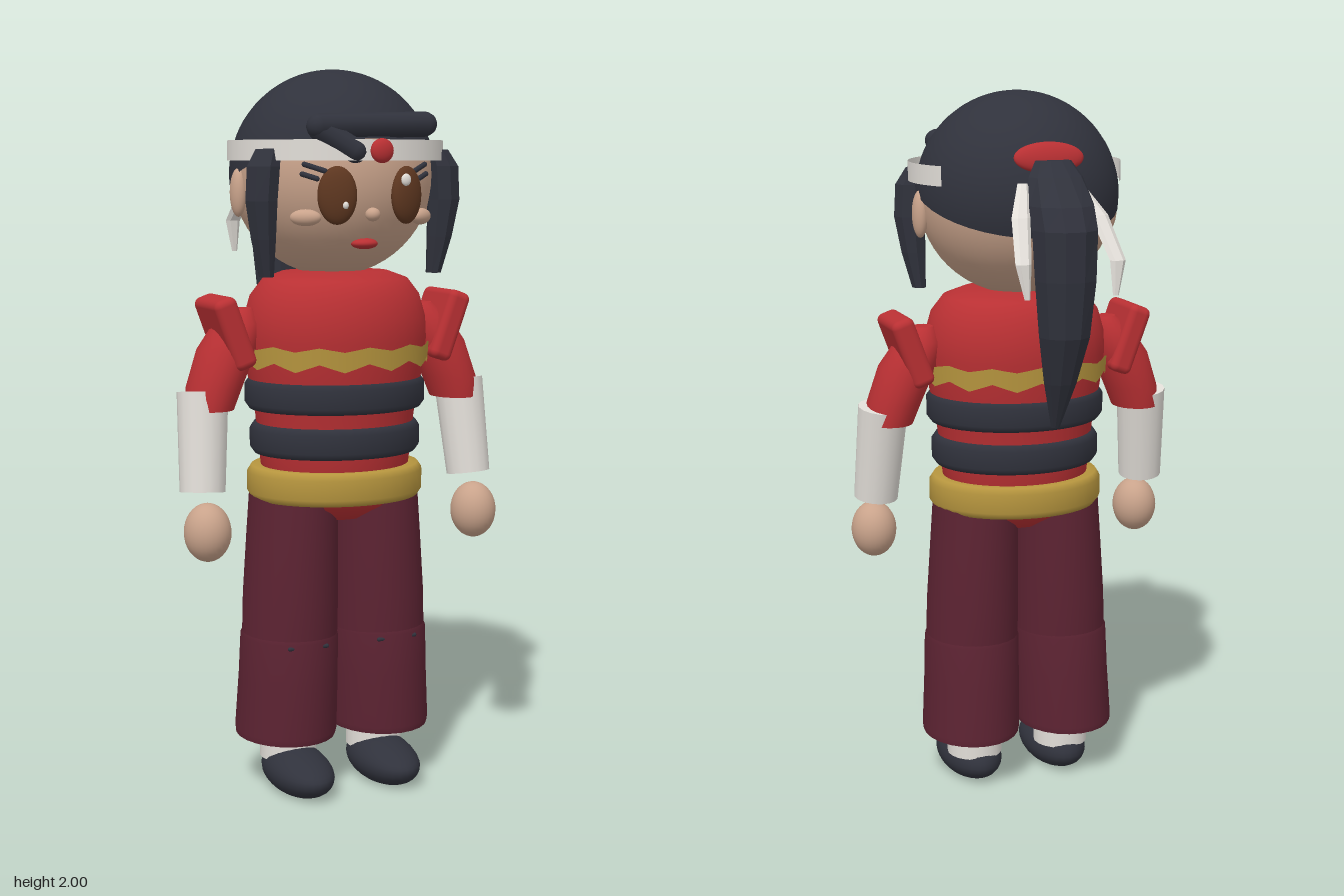
import * as THREE from 'three';
import { RoundedBoxGeometry } from 'three/addons/geometries/RoundedBoxGeometry.js';

const mat = (name, color, side = THREE.FrontSide) => {
  const m = new THREE.MeshStandardMaterial({ color, side });
  m.name = name;
  return m;
};

// Closed body through horizontal ellipses [x, y, z, rx, rz], listed bottom to top
function loft(rings, sides = 24, flat = false) {
  const pos = [], idx = [];
  const addRing = ([x, y, z, rx, rz]) => {
    const start = pos.length / 3;
    for (let j = 0; j < sides; j++) {
      const t = (j / sides) * Math.PI * 2;
      pos.push(x + rx * Math.cos(t), y, z + rz * Math.sin(t));
    }
    return start;
  };
  const starts = rings.map(addRing);
  for (let i = 0; i < rings.length - 1; i++) {
    for (let j = 0; j < sides; j++) {
      const k = (j + 1) % sides;
      const a = starts[i] + j, b = starts[i] + k, c = starts[i + 1] + j, d = starts[i + 1] + k;
      idx.push(a, c, b, b, c, d);
    }
  }
  [[rings[0], false], [rings[rings.length - 1], true]].forEach(([r, top]) => {
    const s = addRing(r), centre = pos.length / 3;
    pos.push(r[0], r[1], r[2]);
    for (let j = 0; j < sides; j++) {
      const k = (j + 1) % sides;
      idx.push(centre, s + (top ? k : j), s + (top ? j : k));
    }
  });
  let g = new THREE.BufferGeometry();
  g.setAttribute('position', new THREE.Float32BufferAttribute(pos, 3));
  g.setIndex(idx);
  if (flat) g = g.toNonIndexed();
  g.computeVertexNormals();
  return g;
}

export function createModel() {
  const red = mat('red cloth', 0xb93033);
  const navy = mat('dark navy', 0x30323c);
  const maroon = mat('maroon cloth', 0x5c2332);
  const gold = mat('gold', 0xb6953e, THREE.DoubleSide);
  const skin = mat('skin', 0xc9a38b);
  const white = mat('white cloth', 0xe2ded8, THREE.DoubleSide);
  const brown = mat('brown eyes', 0x5e3720);

  const model = new THREE.Group();
  const add = (name, geo, material, p = [0, 0, 0], r = [0, 0, 0]) => {
    const m = new THREE.Mesh(geo, material);
    m.name = name;
    m.position.set(...p);
    m.rotation.set(...r);
    model.add(m);
    return m;
  };
  const ball = (name, material, p, s, r) => {
    const m = add(name, new THREE.SphereGeometry(1, 28, 18), material, p, r);
    m.scale.set(...s);
    return m;
  };
  const capsule = (name, material, a, b, radius) => {
    const A = new THREE.Vector3(...a), B = new THREE.Vector3(...b), d = B.clone().sub(A);
    const m = add(name, new THREE.CapsuleGeometry(radius, d.length(), 5, 10), material);
    m.position.copy(A).add(B).multiplyScalar(0.5);
    m.quaternion.setFromUnitVectors(new THREE.Vector3(0, 1, 0), d.normalize());
  };
  // Lathe squashed front to back around the body axis
  const bodyLathe = (name, pts, material) => {
    const m = add(name, new THREE.LatheGeometry(pts.map(q => new THREE.Vector2(...q)), 40), material, [0, 0, 0.085]);
    m.scale.z = 0.86;
  };

  // Torso
  bodyLathe('torso', [[0, 0.76], [0.1, 0.77], [0.17, 0.81], [0.205, 0.87], [0.217, 0.97], [0.226, 1.06],
    [0.247, 1.17], [0.26, 1.27], [0.257, 1.33], [0.24, 1.39], [0.205, 1.435], [0.15, 1.455], [0, 1.46]], red);

  // Belts with rounded edges
  const belt = (name, r, y, h, material) => bodyLathe(name, [[r - 0.04, y - h], [r - 0.012, y - h], [r, y - h * 0.6],
    [r, y + h * 0.6], [r - 0.012, y + h], [r - 0.04, y + h]], material);
  belt('upperBelt', 0.256, 1.122, 0.042, navy);
  belt('lowerBelt', 0.242, 0.998, 0.042, navy);
  belt('waistSash', 0.25, 0.875, 0.045, gold);

  // Wavy chest trim
  const trim = new THREE.CylinderGeometry(0.267, 0.264, 0.05, 48, 1, true);
  const tp = trim.attributes.position;
  for (let i = 0; i < tp.count; i++) {
    const t = Math.atan2(tp.getX(i), tp.getZ(i));
    tp.setY(i, tp.getY(i) + (tp.getY(i) > 0 ? 0.006 : 0.011) * Math.cos(t * 12));
  }
  add('chestTrim', trim, gold, [0, 1.232, 0.085]).scale.z = 0.86;

  // Head and hair cap
  const hc = [0, 1.717, 0.065];
  add('head', new THREE.SphereGeometry(0.276, 40, 28), skin, hc);
  add('hairCap', new THREE.SphereGeometry(0.283, 40, 20, 0, Math.PI * 2, 0, Math.PI / 2), navy, hc, [-0.34, 0, 0]);
  const faceZ = (x, y) => hc[2] + Math.sqrt(0.276 ** 2 - x * x - (y - hc[1]) ** 2);

  // Face
  ball('nose', skin, [0, 1.615, 0.328], [0.02, 0.018, 0.02]);
  ball('mouth', red, [0, 1.537, 0.277], [0.037, 0.015, 0.03]).position.z = faceZ(0, 1.537) + 0.002;
  ball('eyeHighlight', white, [0.085, 1.705, 0.352], [0.014, 0.016, 0.008]);
  ball('eyeHighlight', white, [-0.088, 1.64, 0.35], [0.008, 0.01, 0.008]);

  // Headband with front gem
  const band = add('headband', new THREE.CylinderGeometry(0.296, 0.296, 0.054, 32, 1, true, -2.1, 4.2), white, [0, 1.782, 0.085]);
  band.scale.z = 0.97;
  ball('headbandGem', red, [0, 1.78, 0.383], [0.032, 0.032, 0.018]);

  // Fringe
  capsule('fringe', navy, [-0.15, 1.842, 0.318], [0.155, 1.85, 0.318], 0.033);
  capsule('fringeLock', navy, [-0.145, 1.835, 0.315], [-0.06, 1.78, 0.345], 0.033);

  // Ponytail and tie
  add('ponytail', loft([
    [0, 1.12, -0.25, 0.012, 0.012], [0, 1.25, -0.285, 0.045, 0.045], [0, 1.38, -0.315, 0.07, 0.068],
    [0, 1.53, -0.323, 0.085, 0.075], [0, 1.66, -0.315, 0.09, 0.085], [0, 1.72, -0.29, 0.09, 0.078],
    [0, 1.79, -0.245, 0.075, 0.05], [0, 1.83, -0.225, 0.05, 0.025]], 10, true), navy);
  ball('hairTie', red, [0, 1.835, -0.193], [0.098, 0.042, 0.022], [0.25, 0, 0]);

  for (const s of [-1, 1]) {
    // Face sides
    ball('eye', brown, [s * 0.1, 1.665, 0.323], [0.052, 0.076, 0.026], [0, s * 0.37, 0]);
    ball('cheek', skin, [s * 0.168, 1.607, 0.272], [0.042, 0.022, 0.022], [0, s * 0.6, 0]);
    ball('ear', skin, [s * 0.278, 1.67, 0.07], [0.022, 0.065, 0.029]);
    [[0.13, 1.728, 0.175, 1.745], [0.148, 1.708, 0.18, 1.72]].forEach(([x0, y0, x1, y1]) =>
      capsule('lash', navy, [s * x0, y0, faceZ(x0, y0) + 0.004], [s * x1, y1, faceZ(x1, y1) + 0.004], 0.007));

    // Side lock of hair
    add('sideLock', loft([
      [s * 0.248, 1.45, 0.195, 0.02, 0.025], [s * 0.26, 1.55, 0.205, 0.035, 0.038],
      [s * 0.268, 1.65, 0.212, 0.045, 0.048], [s * 0.262, 1.74, 0.212, 0.046, 0.05],
      [s * 0.245, 1.785, 0.205, 0.035, 0.04]], 8, true), navy);

    // Ribbon tail of the headband
    add('ribbon', loft([
      [s * 0.122, 1.49, -0.37, 0.008, 0.006], [s * 0.13, 1.58, -0.362, 0.022, 0.012],
      [s * 0.108, 1.69, -0.28, 0.026, 0.014], [s * 0.075, 1.77, -0.2, 0.015, 0.01]], 6, true), white);

    // Arm
    add('sleeve', loft([
      [s * 0.372, 1.09, 0.085, 0.066, 0.078], [s * 0.357, 1.15, 0.083, 0.076, 0.084],
      [s * 0.318, 1.25, 0.078, 0.082, 0.084], [s * 0.285, 1.32, 0.075, 0.066, 0.066],
      [s * 0.272, 1.36, 0.075, 0.03, 0.03]], 20), red);
    add('shoulderPlate', new RoundedBoxGeometry(0.065, 0.2, 0.187, 3, 0.02), red, [s * 0.322, 1.297, 0.08], [0, 0, -s * 0.35]);
    add('forearmWrap', new THREE.CylinderGeometry(0.07, 0.062, 0.27, 16), white, [s * 0.398, 1.003, 0.1], [-0.14, 0, s * 0.06]);
    ball('hand', skin, [s * 0.405, 0.765, 0.153], [0.064, 0.08, 0.068]);

    // Wide trouser leg
    add('thigh', loft([
      [s * 0.136, 0.43, 0.077, 0.133, 0.144], [s * 0.133, 0.55, 0.077, 0.132, 0.147],
      [s * 0.127, 0.72, 0.077, 0.126, 0.145], [s * 0.122, 0.86, 0.077, 0.121, 0.14]]), maroon);
    add('trouserLeg', loft([
      [s * 0.145, 0.152, 0.066, 0.138, 0.158], [s * 0.144, 0.17, 0.067, 0.141, 0.161],
      [s * 0.139, 0.32, 0.073, 0.138, 0.154], [s * 0.137, 0.44, 0.077, 0.136, 0.149],
      [s * 0.136, 0.462, 0.077, 0.126, 0.138]]), maroon);
    capsule('kneeFold', navy, [s * 0.08, 0.429, 0.212], [s * 0.19, 0.431, 0.212], 0.006);

    // Ankle and shoe with a flattened sole
    add('ankle', new THREE.CylinderGeometry(0.08, 0.08, 0.12, 20), white, [s * 0.135, 0.14, 0.062]);
    const shoe = new THREE.SphereGeometry(1, 28, 18), sp = shoe.attributes.position;
    for (let i = 0; i < sp.count; i++) {
      const y = sp.getY(i), z = sp.getZ(i);
      sp.setY(i, y < 0 ? Math.max(y, -0.8) : y * (1 - 0.22 * z));
    }
    shoe.scale(0.089, 0.066, 0.163);
    shoe.computeVertexNormals();
    add('shoe', shoe, navy, [s * 0.133, 0.054, 0.128]);
  }
  return model;
}
